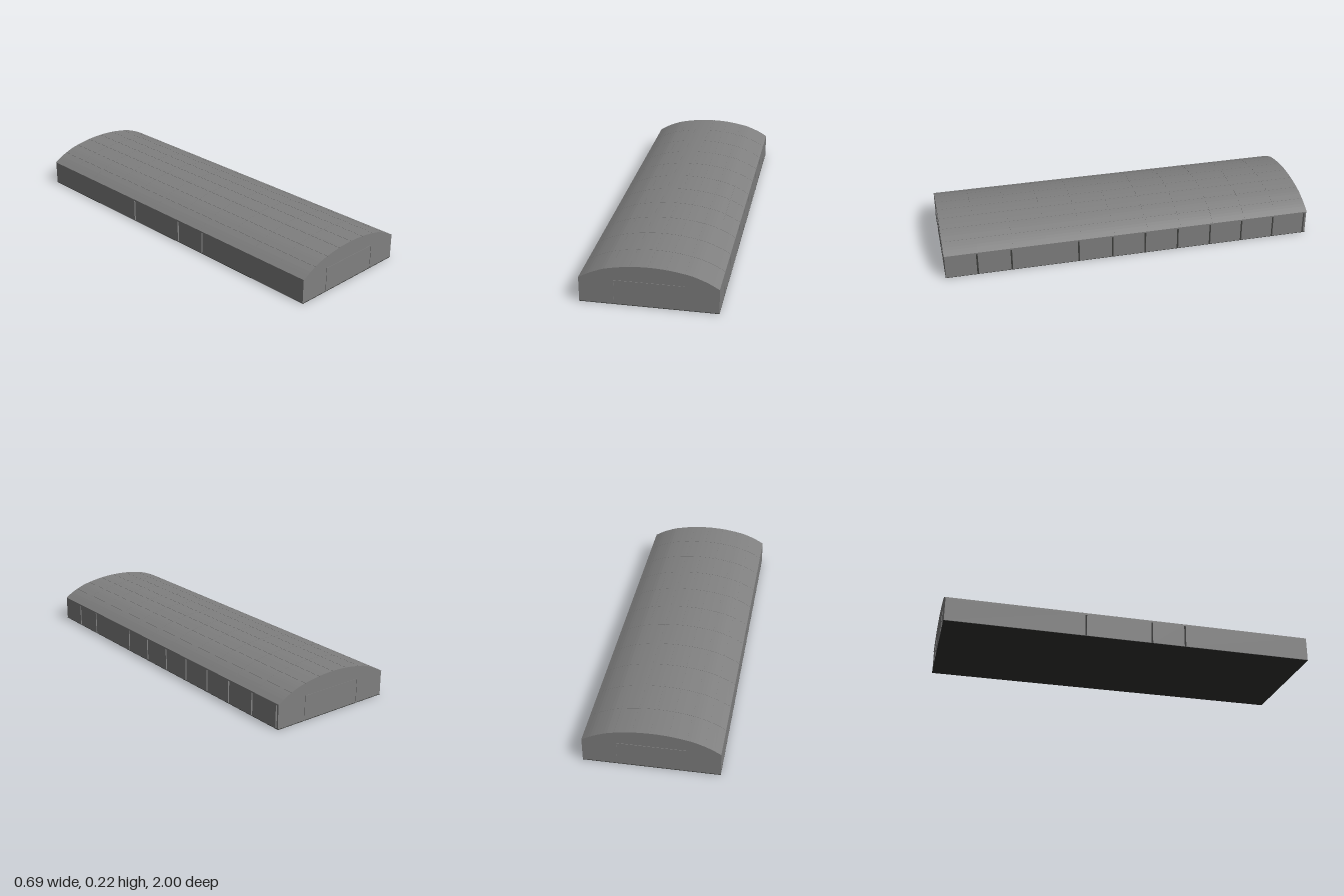
import * as THREE from 'three';

export function createModel() {
  const root = new THREE.Group();
  const grey = new THREE.MeshStandardMaterial({ name: 'panelGrey', color: 0x808080 });
  const dark = new THREE.MeshStandardMaterial({ name: 'floorDark', color: 0x333432 });
  const W = 0.345, WALL = 0.131, BASE = 0.002;

  const add = (parent, name, geometry, material, x = 0, y = 0, z = 0) => {
    const mesh = new THREE.Mesh(geometry, material);
    mesh.name = name;
    mesh.position.set(x, y, z);
    parent.add(mesh);
    return mesh;
  };
  const group = (name) => {
    const g = new THREE.Group();
    g.name = name;
    root.add(g);
    return g;
  };
  const box = (parent, name, w, h, d, x, y, z, mat = grey) =>
    add(parent, name, new THREE.BoxGeometry(w, h, d), mat, x, y, z);

  // Roof curve, from the -x eave over the ridge to the +x eave
  const half = [[W, WALL], [0.3, 0.157], [0.25, 0.1785], [0.2, 0.1945], [0.1, 0.2115]];
  const curve = new THREE.SplineCurve([
    ...half.map(([x, y]) => new THREE.Vector2(-x, y)),
    new THREE.Vector2(0, 0.217),
    ...half.slice().reverse().map(([x, y]) => new THREE.Vector2(x, y)),
  ]);
  const arc = (a, b, n, drop = 0) => Array.from({ length: n + 1 }, (_, i) => {
    const p = curve.getPointAt(a + (b - a) * i / n);
    return new THREE.Vector2(p.x, p.y - drop);
  });
  const extrude = (points, depth) =>
    new THREE.ExtrudeGeometry(new THREE.Shape(points), { depth, bevelEnabled: false });
  const band = (a, b, n, top, bottom, depth) =>
    extrude([...arc(a, b, n, bottom), ...arc(a, b, n, top).reverse()], depth);

  // Floor slab
  box(root, 'floor', W * 2, BASE, 2, 0, BASE / 2, 0, dark);

  // Roof: continuous under-skin with a grid of thin panels on it
  const roof = group('roof');
  add(roof, 'roofSkin', band(0, 1, 40, 0.001, 0.008, 1.992), grey, 0, 0, -0.996);
  const bays = [1];
  for (let z = 0.82; z > -0.9; z -= 0.182) bays.push(z);
  bays.push(-1);
  const strips = 8, gap = 0.002;
  for (let s = 0; s < strips; s++) {
    for (let b = 0; b < bays.length - 1; b++) {
      const z0 = bays[b + 1] + (b === bays.length - 2 ? 0 : gap / 2);
      const z1 = bays[b] - (b === 0 ? 0 : gap / 2);
      const a0 = s / strips + (s ? gap : 0);
      add(roof, 'roofPanel', band(a0, (s + 1) / strips, 5, 0, 0.0011, z1 - z0), grey, 0, 0, z0);
    }
  }

  // Side walls: panels separated by open joints
  const T = 0.008, joint = 0.009;
  const sideWall = (name, side, joints) => {
    const wall = group(name);
    const cuts = [0.992 + joint / 2, ...joints, -0.992 - joint / 2];
    for (let i = 0; i < cuts.length - 1; i++) {
      const z1 = cuts[i] - joint / 2, z0 = cuts[i + 1] + joint / 2;
      if (z1 <= z0) continue;
      box(wall, 'wallPanel', T, WALL - BASE, z1 - z0,
        side * (W - T / 2), (WALL + BASE) / 2, (z0 + z1) / 2);
    }
  };
  sideWall('rightWall', 1, [0.83, 0.65, 0.29, 0.105, -0.075, -0.257, -0.44, -0.62, -0.802, -0.984]);
  sideWall('leftWall', -1, [0.29, 0.105, -0.257]);

  // End walls, each with a large door outlined by a slim frame
  for (const side of [1, -1]) {
    const end = group(side > 0 ? 'frontEnd' : 'backEnd');
    const outline = [new THREE.Vector2(-W, BASE), new THREE.Vector2(W, BASE),
      ...arc(0, 1, 40, 0.0012).reverse()];
    add(end, 'endWall', extrude(outline, 0.007), grey, 0, 0, side > 0 ? 0.991 : -0.998);
    const z = side * 0.999, f = 0.005, top = 0.132;
    for (const x of [-1, 1])
      box(end, 'doorJamb', f, top - f, 0.002, x * 0.1735, (top - f) / 2, z);
    box(end, 'doorLintel', 0.352, f, 0.002, 0, top - f / 2, z);
  }
  return root;
}
